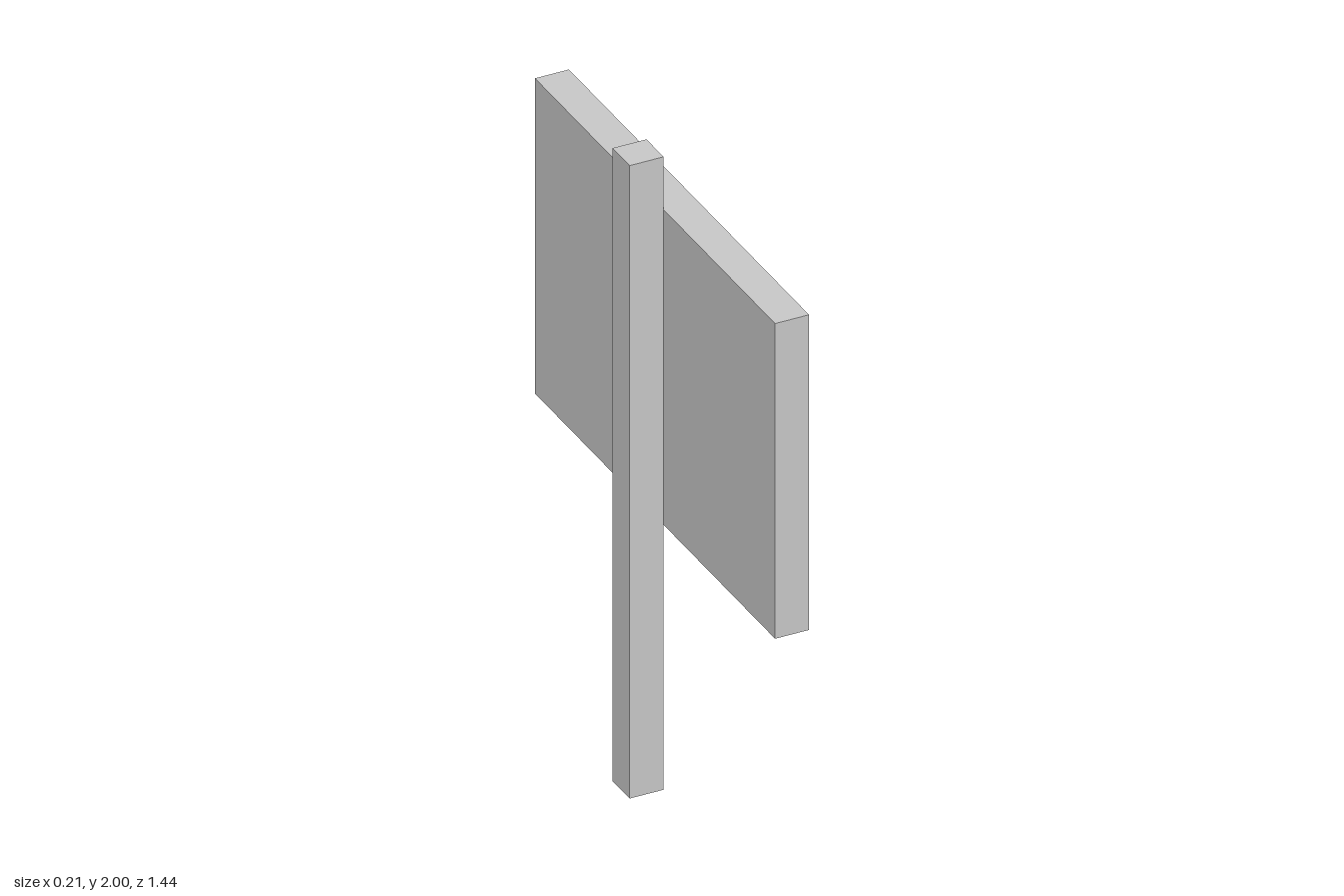
import * as THREE from 'three';

export function createModel() {
  const model = new THREE.Group();
  model.name = 'signpost';
  const material = new THREE.MeshStandardMaterial({ color: 0xcccccc, flatShading: true });

  const addBox = (name, size, position) => {
    const mesh = new THREE.Mesh(new THREE.BoxGeometry(...size), material);
    mesh.name = name;
    mesh.position.set(...position);
    model.add(mesh);
  };

  // Square upright post, standing on the ground
  addBox('post', [0.103, 2, 0.103], [-0.0515, 1, 0]);
  // Thick sign board fixed to the post's +x face
  addBox('signBoard', [0.103, 0.996, 1.444], [0.0515, 1.335, 0]);

  return model;
}
